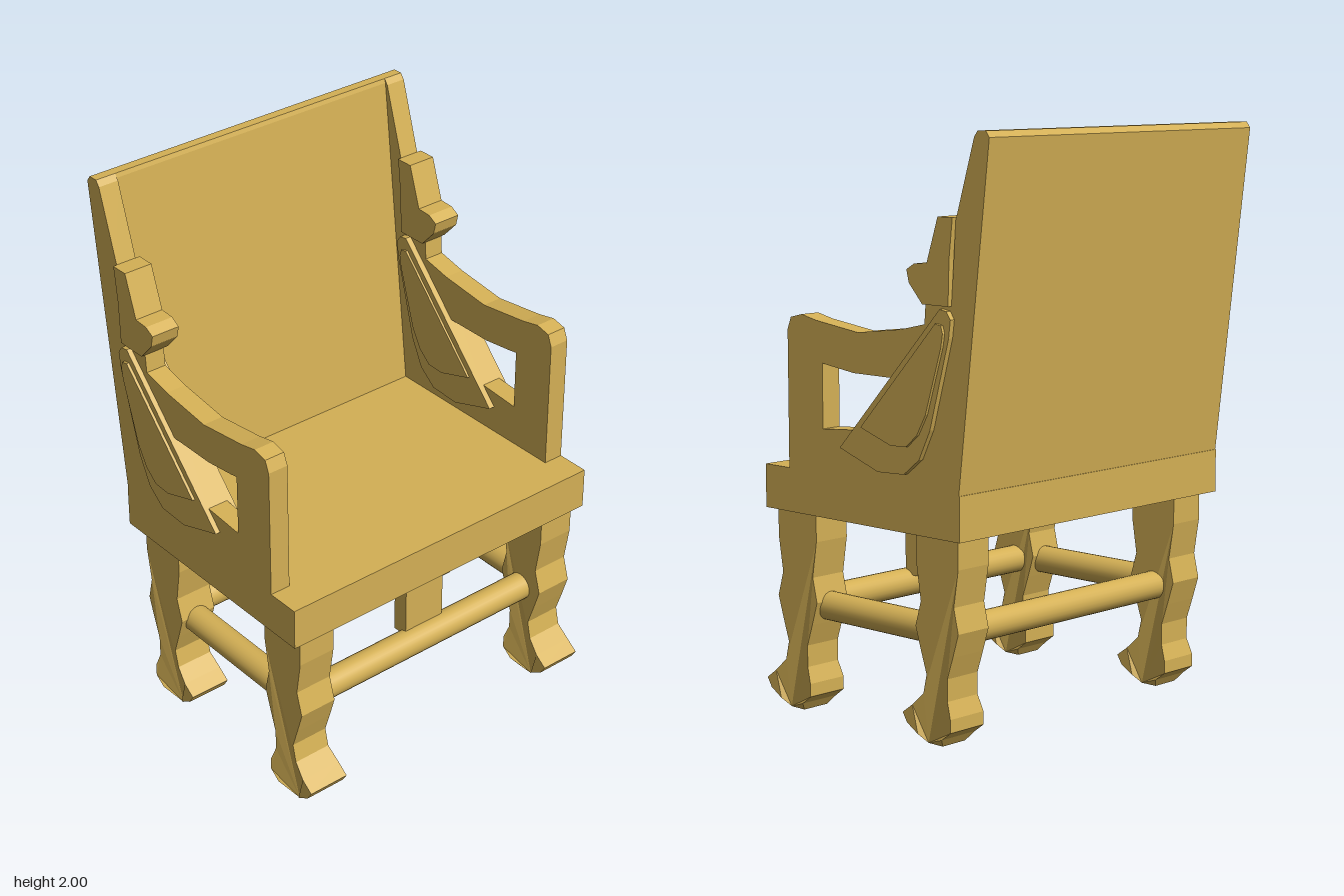
import * as THREE from 'three';

const wood = new THREE.MeshStandardMaterial({ color: 0xd4b055 });

const toPoints = (list) => list.map(([z, y]) => new THREE.Vector2(z, y));

// Side profile of [z, y] points, extruded across x from x0 to x1
function slab(name, profile, x0, x1, hole) {
  const shape = new THREE.Shape(toPoints(profile));
  if (hole) shape.holes.push(new THREE.Path(toPoints(hole)));
  const geo = new THREE.ExtrudeGeometry(shape, { depth: x1 - x0, bevelEnabled: false });
  geo.rotateY(-Math.PI / 2).translate(x1, 0, 0);
  const mesh = new THREE.Mesh(geo, wood);
  mesh.name = name;
  return mesh;
}

function box(name, x0, x1, y0, y1, z0, z1) {
  const mesh = new THREE.Mesh(new THREE.BoxGeometry(x1 - x0, y1 - y0, z1 - z0), wood);
  mesh.position.set((x0 + x1) / 2, (y0 + y1) / 2, (z0 + z1) / 2);
  mesh.name = name;
  return mesh;
}

// Round rail between the legs
function rail(name, length, x, z, alongX) {
  const geo = new THREE.CylinderGeometry(0.05, 0.05, length, 24);
  if (alongX) geo.rotateZ(Math.PI / 2);
  else geo.rotateX(Math.PI / 2);
  const mesh = new THREE.Mesh(geo, wood);
  mesh.position.set(x, 0.37, z);
  mesh.name = name;
  return mesh;
}

const legProfile = [
  [0.39, 0], [0.455, 0], [0.48, 0.03], [0.53, 0.06], [0.55, 0.092], [0.505, 0.125],
  [0.46, 0.17], [0.445, 0.235], [0.47, 0.31], [0.495, 0.39], [0.47, 0.475], [0.49, 0.6],
  [0.49, 0.7], [0.3, 0.7], [0.3, 0.6], [0.32, 0.475], [0.3, 0.39], [0.325, 0.31],
  [0.35, 0.235], [0.35, 0.16], [0.33, 0.105], [0.33, 0.06], [0.37, 0.03],
];

// Curved leg: the paw is a little wider and tapers in at the sole
function leg(name, x, z) {
  const mesh = slab(name, legProfile, -0.07, 0.07);
  const pos = mesh.geometry.attributes.position;
  for (let i = 0; i < pos.count; i++) {
    const y = pos.getY(i);
    const half = y < 0.01 ? 0.052 : y < 0.15 ? 0.077 : 0.07;
    pos.setX(i, Math.sign(pos.getX(i)) * half);
  }
  mesh.geometry.computeVertexNormals();
  mesh.position.set(x, 0, z);
  return mesh;
}

// Arm, side panel and back stile in one outline
const sideProfile = [
  [-0.41, 0.85], [0.39, 0.85], [0.39, 1.32], [0.373, 1.362], [0.32, 1.375], [0.25, 1.36],
  [0.05, 1.335], [-0.15, 1.36], [-0.26, 1.385], [-0.265, 1.45], [-0.38, 1.45], [-0.4, 1.72],
  [-0.48, 1.98], [-0.495, 2], [-0.53, 2], [-0.545, 1.98],
];
const armOpening = [
  [0.22, 1], [0.22, 1.22], [0.19, 1.215], [0.07, 1.2], [-0.14, 1.2], [0.03, 1.015],
];
const headProfile = [
  [-0.4, 1.73], [-0.335, 1.73], [-0.285, 1.58], [-0.23, 1.577], [-0.195, 1.557],
  [-0.205, 1.515], [-0.265, 1.45], [-0.38, 1.45], [-0.385, 1.6],
];
const wingProfile = [
  [0.12, 0.95], [-0.345, 1.44], [-0.375, 1.435], [-0.393, 1.41], [-0.385, 1.35],
  [-0.3, 1.05], [-0.25, 0.95], [-0.18, 0.895], [-0.06, 0.89],
];
const wingInset = [
  [0.01, 1.03], [-0.335, 1.395], [-0.36, 1.39], [-0.368, 1.365], [-0.36, 1.32],
  [-0.29, 1.1], [-0.25, 1.03], [-0.2, 0.988], [-0.13, 0.985],
];
const panelProfile = [
  [-0.41, 0.85], [-0.36, 0.85], [-0.49, 1.985], [-0.495, 2], [-0.53, 2], [-0.545, 1.98],
];

export function createModel() {
  const chair = new THREE.Group();
  chair.name = 'armchair';

  // Seat and sloping back
  chair.add(box('seat', -0.645, 0.645, 0.7, 0.85, -0.413, 0.51));
  chair.add(slab('backPanel', panelProfile, -0.572, 0.572));

  // Arms with carved heads and wings, one set per side
  for (const s of [1, -1]) {
    const side = new THREE.Group();
    side.name = s > 0 ? 'leftSide' : 'rightSide';
    const add = (name, profile, inner, outer, hole) =>
      side.add(slab(name, profile, Math.min(s * inner, s * outer), Math.max(s * inner, s * outer), hole));
    add('armAndStile', sideProfile, 0.57, 0.645, armOpening);
    add('carvedHead', headProfile, 0.555, 0.66);
    add('wing', wingProfile, 0.548, 0.663);
    add('wingInset', wingInset, 0.54, 0.673);
    chair.add(side);

    // Legs and the rail joining them
    chair.add(leg('frontLeg', s * 0.538, 0));
    chair.add(leg('backLeg', s * 0.538, -0.67));
    chair.add(rail('sideRail', 0.58, s * 0.538, 0.06, false));
  }

  // Cross rails and the short post under the seat
  chair.add(rail('frontRail', 1, 0, 0.395, true));
  chair.add(rail('backRail', 1, 0, -0.275, true));
  chair.add(box('seatPost', -0.065, 0.1, 0.4, 0.7, 0.33, 0.39));

  return chair;
}
